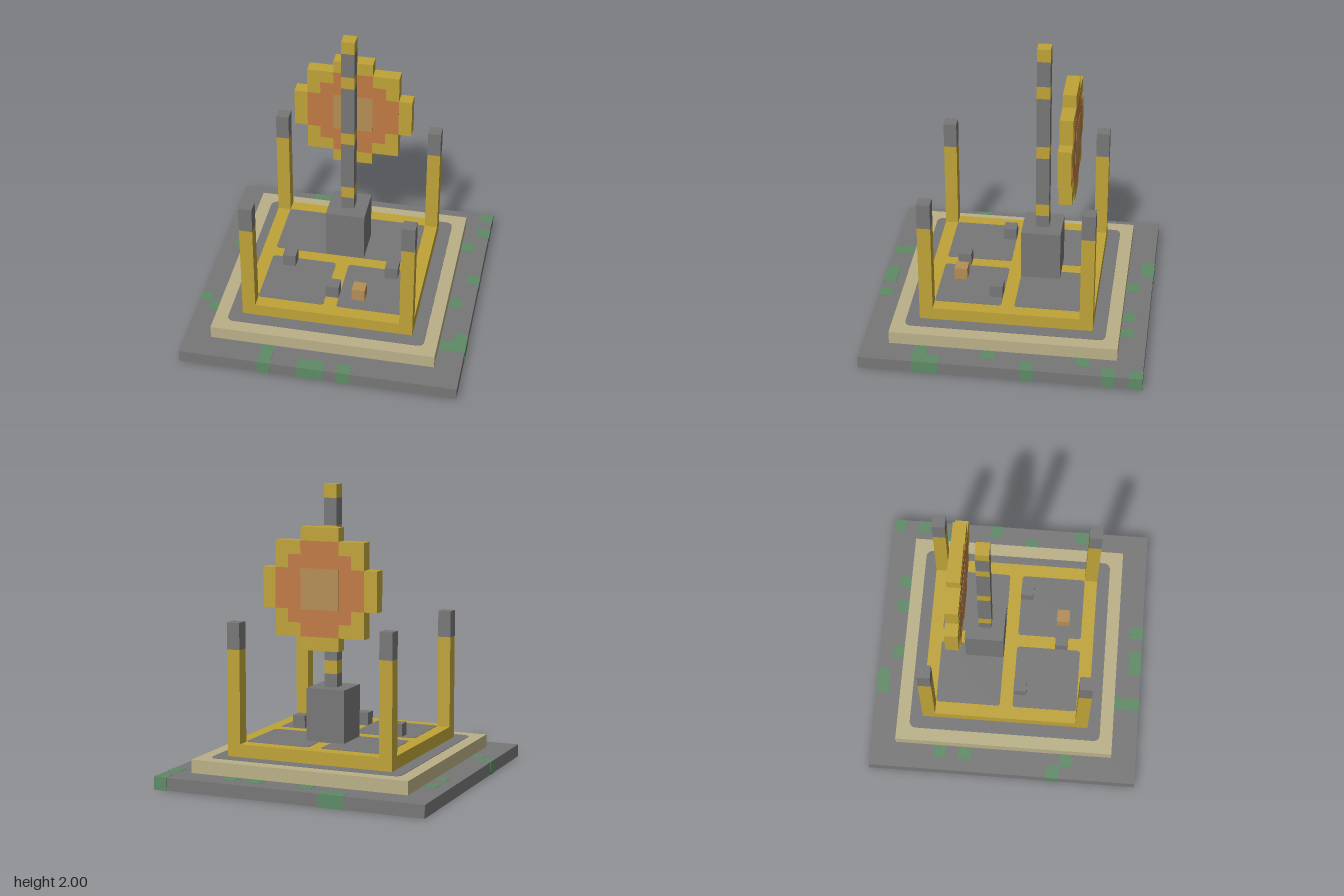
import * as THREE from 'three';

const U = 1 / 11; // one block
const T = 0.003;  // thickness of painted plates

const mat = (name, hex) => {
  const m = new THREE.MeshStandardMaterial({ color: hex });
  m.name = name;
  return m;
};

export function createModel() {
  const stone = mat('stone', 0x777777);
  const gold = mat('gold', 0xbfa338);
  const sand = mat('sand', 0xbab088);
  const orange = mat('orange', 0xc07a44);
  const bronze = mat('bronze', 0xb48d55);
  const moss = mat('moss', 0x5f8a66);
  const model = new THREE.Group();
  model.name = 'shrine';

  const add = (name, geometry, material, parent = model) => {
    const mesh = new THREE.Mesh(geometry, material);
    mesh.name = name;
    parent.add(mesh);
    return mesh;
  };
  const group = (name) => {
    const g = new THREE.Group();
    g.name = name;
    model.add(g);
    return g;
  };
  // Box in block units: centre x and z, bottom and top, width and depth
  const block = (name, material, x, z, y0, y1, w = 1, d = w, parent = model) => {
    const mesh = add(name, new THREE.BoxGeometry(w * U, (y1 - y0) * U, d * U), material, parent);
    mesh.position.set(x * U, (y0 + y1) / 2 * U, z * U);
    return mesh;
  };
  // Thin square floor plate with rounded corners
  const plate = (name, material, x, z, y, size, r, parent = model) => {
    const h = size * U / 2;
    const s = new THREE.Shape();
    s.absarc(h - r, h - r, r, 0, Math.PI / 2);
    s.absarc(r - h, h - r, r, Math.PI / 2, Math.PI);
    s.absarc(r - h, r - h, r, Math.PI, Math.PI * 1.5);
    s.absarc(h - r, r - h, r, Math.PI * 1.5, Math.PI * 2);
    s.closePath();
    const geo = new THREE.ExtrudeGeometry(s, { depth: T, bevelEnabled: false, curveSegments: 4 });
    geo.rotateX(-Math.PI / 2);
    add(name, geo, material, parent).position.set(x * U, y * U, z * U);
  };

  // Stepped platform; the lowest slab is a hair smaller so moss blocks show
  const base = block('baseSlab', stone, 0, 0, 0, 1, 21);
  base.scale.set(0.998, 0.96, 0.998);
  block('middleStep', sand, 0, 0, 1, 2, 17);
  plate('middleFloor', stone, 0, 0, 2, 15, 0.045);
  block('topStep', gold, 0, 0, 2, 3, 13);
  for (const x of [-3, 3]) for (const z of [-3, 3]) plate('floorPanel', stone, x, z, 3, 5, 0.02);

  // Mossy blocks around the rim of the base
  const mossGroup = group('mossPatches');
  const rim = [
    [-4, -10], [-3, -10], [-1, -9], [3, -9], [5, -9], [10, -10], [10, -8], [9, -6],
    [-9, -5], [-9, -3], [10, -2], [9, 1], [-10, 4], [-9, 5], [10, 5], [10, 6], [9, 6],
    [-4, 9], [-4, 10], [-1, 10], [0, 10], [2, 10],
  ];
  for (const [x, z] of rim) block('mossBlock', moss, x, z, 0, 1, 1, 1, mossGroup);
  // Scattered moss on the underside
  let seed = 7;
  const random = () => (seed = (seed * 16807) % 2147483647) / 2147483647;
  for (let x = -8; x <= 8; x++) {
    for (let z = -8; z <= 8; z++) {
      if (random() < 0.1) block('undersideMoss', moss, x, z, 0, 0.08, 1, 1, mossGroup);
    }
  }

  // Corner posts with stone caps
  for (const x of [-6, 6]) {
    for (const z of [-6, 6]) {
      block('cornerPost', gold, x, z, 3, 10);
      block('postCap', stone, x, z, 10, 12);
    }
  }

  // Pedestal and banded pole
  block('pedestal', stone, 0, -2, 3, 7, 3);
  const pole = group('pole');
  const cuts = [7, 8, 9, 13, 14, 18, 19, 21, 22];
  for (let i = 0; i < cuts.length - 1; i++) {
    block(i % 2 ? 'poleBand' : 'poleShaft', i % 2 ? gold : stone, 0, -2, cuts[i], cuts[i + 1], 1, 1, pole);
  }

  // Sun disc: symmetric stepped outlines, given as corners of the upper right quarter
  const disc = group('sunDisc');
  disc.position.set(0, 14.5 * U, -4 * U);
  const stepped = (name, material, quarter, depth) => {
    const back = [...quarter].reverse();
    const outline = [
      ...quarter,
      ...back.map(([x, y]) => [-x, y]),
      ...quarter.map(([x, y]) => [-x, -y]),
      ...back.map(([x, y]) => [x, -y]),
    ];
    const shape = new THREE.Shape(outline.map(([x, y]) => new THREE.Vector2(x * U, y * U)));
    const geo = new THREE.ExtrudeGeometry(shape, { depth, bevelEnabled: false });
    geo.translate(0, 0, -depth / 2);
    add(name, geo, material, disc);
  };
  stepped('discRim', gold, [[4.5, 1.5], [3.5, 1.5], [3.5, 3.5], [1.5, 3.5], [1.5, 4.5]], U);
  stepped('discFace', orange, [[3.5, 1.5], [2.5, 1.5], [2.5, 2.5], [1.5, 2.5], [1.5, 3.5]], U + T);
  stepped('discCore', bronze, [[1.5, 1.5]], U + 2 * T);

  // Small blocks on the floor
  for (const [x, z] of [[-4, 1], [4, 1], [0, 4]]) block('smallStone', stone, x, z, 3, 4);
  block('bronzeBlock', bronze, 2, 4, 3, 4);

  return model;
}
